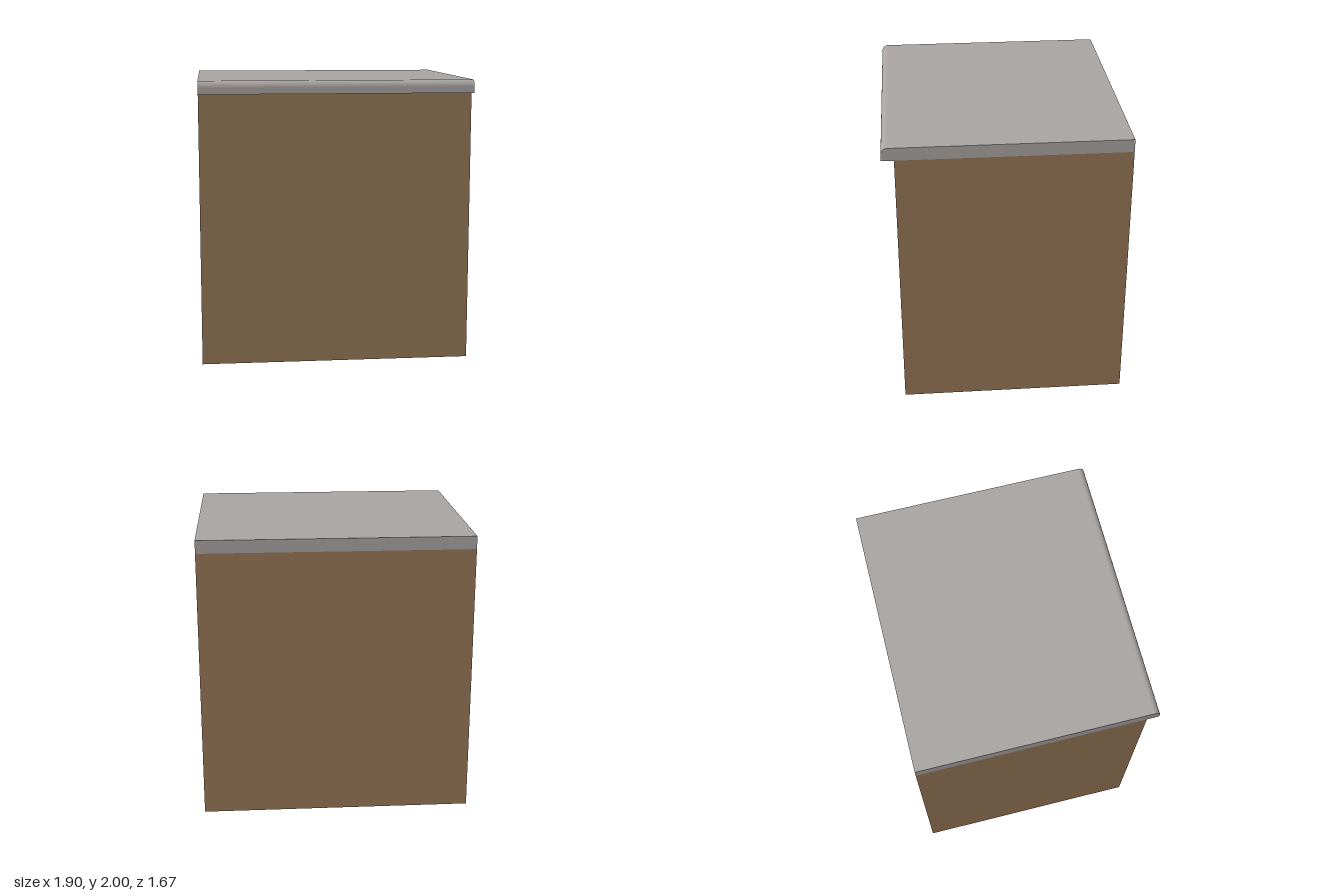
import * as THREE from 'three';

export function createModel() {
  const wood = new THREE.MeshStandardMaterial({ color: 0x967757 });
  wood.name = 'brown wood';
  const stone = new THREE.MeshStandardMaterial({ color: 0xa9a4a2 });
  stone.name = 'grey stone';

  const width = 1.9, back = -0.835, front = 0.835, bodyFront = 0.75;
  const bodyTop = 1.91, top = 2, radius = 0.045;
  const model = new THREE.Group();
  model.name = 'counterCabinet';

  // Plain cabinet body, set back from the worktop's front edge
  const body = new THREE.Mesh(new THREE.BoxGeometry(width, bodyTop, bodyFront - back), wood);
  body.name = 'cabinetBody';
  body.position.set(0, bodyTop / 2, (bodyFront + back) / 2);
  model.add(body);

  // Worktop side profile (z, y) with a rounded upper front edge
  const profile = new THREE.Shape();
  profile.moveTo(back, bodyTop);
  profile.lineTo(front, bodyTop);
  profile.lineTo(front, top - radius);
  profile.absarc(front - radius, top - radius, radius, 0, Math.PI / 2, false);
  profile.lineTo(back, top);
  profile.closePath();

  const slab = new THREE.ExtrudeGeometry(profile, { depth: width, bevelEnabled: false, curveSegments: 4 });
  slab.rotateY(-Math.PI / 2).translate(width / 2, 0, 0);
  const worktop = new THREE.Mesh(slab, stone);
  worktop.name = 'worktop';
  model.add(worktop);

  return model;
}
